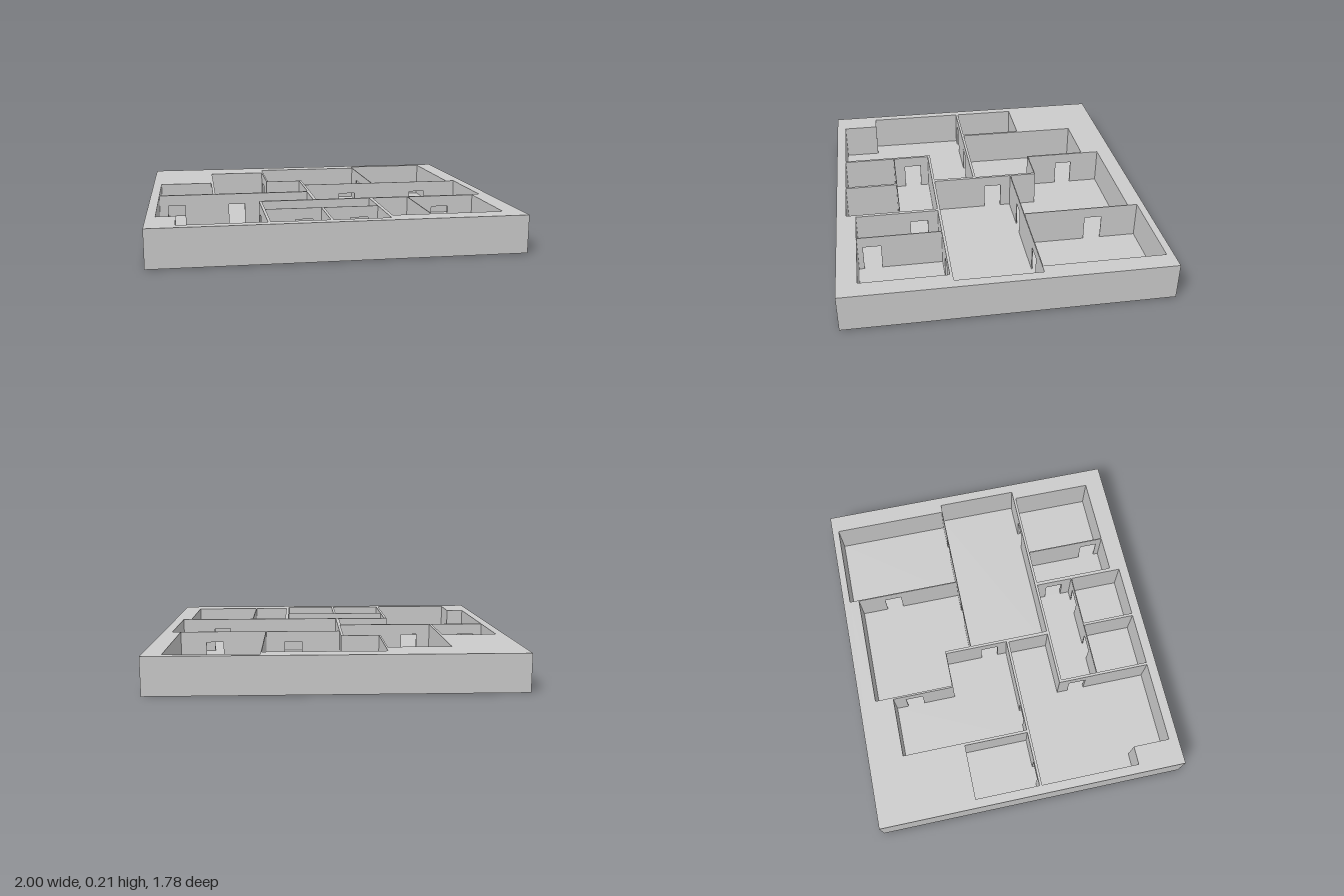
import * as THREE from 'three';

const H = 0.208, DOOR_H = 0.145, W = 1, D = 0.89;
const material = new THREE.MeshStandardMaterial({ color: 0xcccccc, side: THREE.DoubleSide, flatShading: true });

const rect = (x0, z0, x1, z1) => [[x0, z0], [x1, z0], [x1, z1], [x0, z1]];

// Room outlines as [x, z], clockwise seen from above
const rooms = {
  smallWestRoom: rect(-0.95, -0.33, -0.635, 0.04),
  westRoom: [[-0.62, -0.69], [-0.275, -0.69], [-0.275, -0.33], [-0.06, -0.33], [-0.06, 0.04], [-0.62, 0.04]],
  backRoom: [[-0.265, -0.795], [0.39, -0.795], [0.39, -0.18], [-0.045, -0.18], [-0.045, -0.335], [-0.265, -0.335]],
  backCornerRoom: rect(0.395, -0.85, 0.895, -0.18),
  hall: rect(-0.045, -0.175, 0.945, 0.295),
  frontWestRoom: [[-0.95, 0.055], [-0.065, 0.055], [-0.065, 0.295], [-0.38, 0.295], [-0.38, 0.835],
    [-0.845, 0.835], [-0.845, 0.625], [-0.95, 0.625]],
  corridor: rect(-0.365, 0.31, 0.265, 0.525),
  frontCellLeft: rect(-0.365, 0.53, -0.055, 0.835),
  frontCellRight: rect(-0.04, 0.53, 0.265, 0.835),
  narrowRoom: rect(0.285, 0.31, 0.495, 0.78),
  frontCornerRoom: rect(0.5, 0.31, 0.895, 0.78),
};

// Doorways x0, z0, x1, z1; the first list pierces walls running along x, the second along z
const doorsAlongX = [
  [-0.9, 0.04, -0.8, 0.055], [-0.54, 0.04, -0.445, 0.055],
  [0.18, -0.18, 0.28, -0.175], [0.645, -0.18, 0.745, -0.175],
  [0.645, 0.295, 0.745, 0.31],
  [-0.2, 0.525, -0.1, 0.53], [0.11, 0.525, 0.21, 0.53],
];
const doorsAlongZ = [
  [-0.275, -0.62, -0.265, -0.52], [0.39, -0.64, 0.395, -0.54],
  [-0.06, -0.115, -0.045, -0.015], [-0.38, 0.36, -0.365, 0.46],
  [0.265, 0.37, 0.285, 0.47], [0.495, 0.65, 0.5, 0.75],
];

function add(group, name, geometry) {
  const mesh = new THREE.Mesh(geometry, material);
  mesh.name = name;
  group.add(mesh);
  return mesh;
}

// Horizontal sheet at height y
function sheet(outline, y, holes = []) {
  const points = (o) => o.map(([x, z]) => new THREE.Vector2(x, -z));
  const shape = new THREE.Shape(points(outline));
  shape.holes = holes.map((h) => new THREE.Path(points(h)));
  return new THREE.ShapeGeometry(shape).rotateX(-Math.PI / 2).translate(0, y, 0);
}

// Upright panel from p to q, with notches [start, end] cut for doorways
function panel(p, q, height, notches = []) {
  const dx = q[0] - p[0], dz = q[1] - p[1];
  const shape = new THREE.Shape();
  shape.moveTo(0, 0);
  for (const [a, b] of [...notches].sort((m, n) => m[0] - n[0])) {
    shape.lineTo(a, 0);
    shape.lineTo(a, DOOR_H);
    shape.lineTo(b, DOOR_H);
    shape.lineTo(b, 0);
  }
  shape.lineTo(Math.hypot(dx, dz), 0);
  shape.lineTo(Math.hypot(dx, dz), height);
  shape.lineTo(0, height);
  return new THREE.ShapeGeometry(shape).rotateY(Math.atan2(-dz, dx)).translate(p[0], 0, p[1]);
}

// Doorways lying in the wall from p to q, measured along it
function notchesFor(p, q) {
  const run = p[1] === q[1] ? 0 : 1, across = 1 - run;
  const lo = Math.min(p[run], q[run]), hi = Math.max(p[run], q[run]);
  return (run === 0 ? doorsAlongX : doorsAlongZ)
    .filter((d) => (d[across] === p[across] || d[across + 2] === p[across]) && d[run] > lo && d[run + 2] < hi)
    .map((d) => [Math.abs(d[run] - p[run]), Math.abs(d[run + 2] - p[run])].sort((a, b) => a - b));
}

export function createModel() {
  const model = new THREE.Group();
  model.name = 'floorPlan';

  // Outer shell, open underneath
  const border = rect(-W, -D, W, D);
  add(model, 'topSlab', sheet(border, H, Object.values(rooms)));
  border.forEach((p, i) => add(model, 'outerWall', panel(border[(i + 1) % 4], p, H)));

  // Rooms
  for (const [name, outline] of Object.entries(rooms)) {
    const room = new THREE.Group();
    room.name = name;
    add(room, 'floor', sheet(outline, 0));
    outline.forEach((p, i) => {
      const q = outline[(i + 1) % outline.length];
      add(room, 'wall', panel(p, q, H, notchesFor(p, q)));
    });
    model.add(room);
  }

  // Doorway linings
  [doorsAlongX, doorsAlongZ].forEach((doors, run) => doors.forEach((d) => {
    const door = new THREE.Group();
    door.name = 'doorway';
    const c = rect(...d);
    add(door, 'threshold', sheet(c, 0));
    add(door, 'lintel', sheet(c, DOOR_H));
    const sides = run === 0 ? [1, 3] : [0, 2];
    sides.forEach((i) => add(door, 'jamb', panel(c[i], c[(i + 1) % 4], DOOR_H)));
    model.add(door);
  }));
  return model;
}
